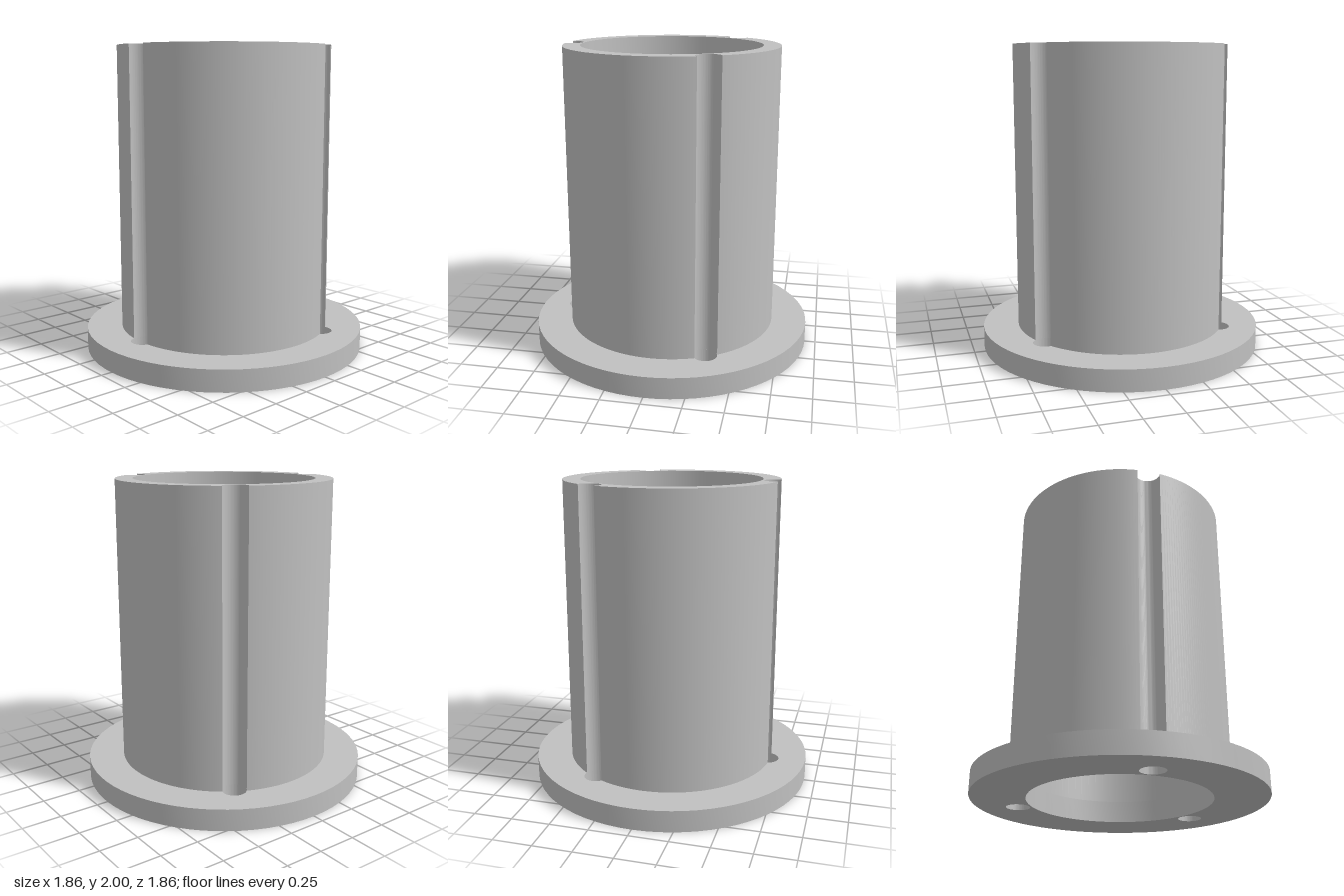
import * as THREE from 'three';
import { toCreasedNormals } from 'three/addons/utils/BufferGeometryUtils.js';

const BORE = 0.583, TUBE = 0.696, FLANGE = 0.928;   // radii
const FLANGE_H = 0.14, HEIGHT = 2;
const HOLE = 0.078, HOLE_RING = 0.673;              // bolt channels
const angles = [0, 1, 2].map(i => THREE.MathUtils.degToRad(28.7 + 120 * i));

const circle = (x, y, r) => new THREE.Path().absarc(x, y, r, 0, Math.PI * 2, true);

// Extrude a plan outline upward from y0 to y1
function extrudeUp(shape, y0, y1) {
  const geo = new THREE.ExtrudeGeometry(shape, { depth: y1 - y0, bevelEnabled: false, curveSegments: 36 });
  geo.rotateX(-Math.PI / 2).translate(0, y0, 0);
  return toCreasedNormals(geo, 0.5);
}

// Flange disc with the bore and three bolt holes
function flangeShape() {
  const s = new THREE.Shape().absarc(0, 0, FLANGE, 0, Math.PI * 2, false);
  s.holes.push(circle(0, 0, BORE));
  for (const a of angles) s.holes.push(circle(Math.cos(a) * HOLE_RING, Math.sin(a) * HOLE_RING, HOLE));
  return s;
}

// Sleeve ring whose outside is cut by three round channels
function sleeveShape() {
  const along = (TUBE ** 2 - HOLE ** 2 + HOLE_RING ** 2) / (2 * HOLE_RING);
  const across = Math.sqrt(TUBE ** 2 - along ** 2);
  const half = Math.atan2(across, along);               // channel mouth, seen from the axis
  const lip = Math.atan2(across, along - HOLE_RING);    // channel mouth, seen from the hole centre
  const s = new THREE.Shape();
  angles.forEach((a, i) => {
    const next = angles[(i + 1) % 3] + (i === 2 ? Math.PI * 2 : 0);
    s.absarc(Math.cos(a) * HOLE_RING, Math.sin(a) * HOLE_RING, HOLE, a - lip, a + lip, true);
    s.absarc(0, 0, TUBE, a + half, next - half, false);
  });
  s.holes.push(circle(0, 0, BORE));
  return s;
}

export function createModel() {
  const metal = new THREE.MeshStandardMaterial({ color: 0xc0c0c0 });
  metal.name = 'grey';
  const group = new THREE.Group();
  group.name = 'flangedSleeve';

  const flange = new THREE.Mesh(extrudeUp(flangeShape(), 0, FLANGE_H), metal);
  flange.name = 'flange';
  const sleeve = new THREE.Mesh(extrudeUp(sleeveShape(), FLANGE_H, HEIGHT), metal);
  sleeve.name = 'groovedSleeve';

  group.add(flange, sleeve);
  return group;
}
